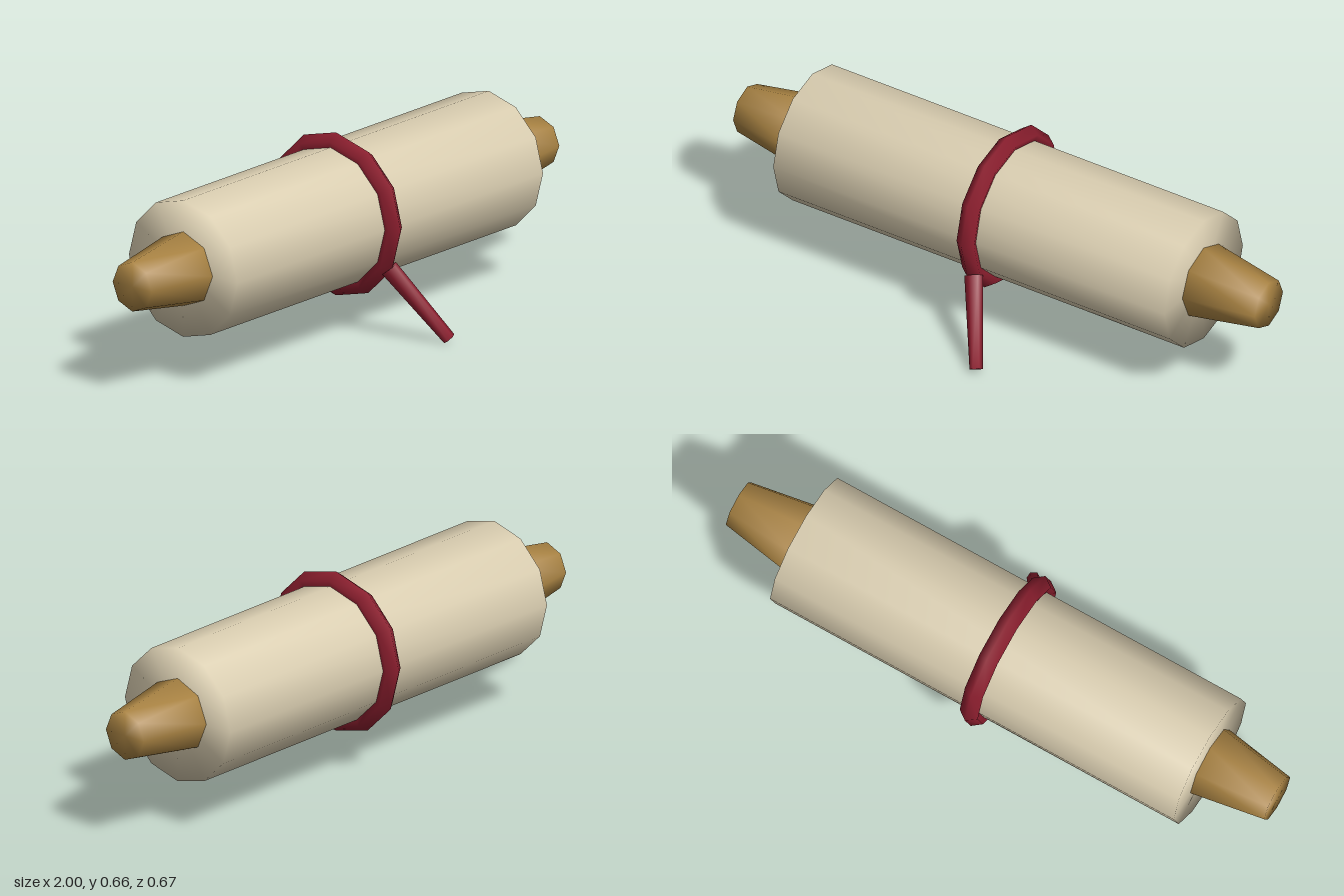
import * as THREE from 'three';
import { mergeVertices } from 'three/addons/utils/BufferGeometryUtils.js';

const paper = new THREE.MeshStandardMaterial({ name: 'parchment cream', color: 0xd9cdb0 });
const wood = new THREE.MeshStandardMaterial({ name: 'golden wood', color: 0xa98343 });
const ribbon = new THREE.MeshStandardMaterial({ name: 'dark red ribbon', color: 0x8b1e2e });

// Share vertices between sides and caps so shading runs smoothly over the edges
function soften(geometry) {
  geometry.deleteAttribute('uv');
  geometry.deleteAttribute('normal');
  const merged = mergeVertices(geometry, 1e-4);
  merged.computeVertexNormals();
  return merged;
}

function addPart(parent, name, geometry, material) {
  const mesh = new THREE.Mesh(geometry, material);
  mesh.name = name;
  parent.add(mesh);
  return mesh;
}

export function createModel() {
  const model = new THREE.Group();
  model.name = 'tiedScroll';

  // Rolled sheet and rod ends share one axis along x
  const roll = new THREE.Group();
  roll.name = 'roll';
  roll.position.set(0, 0.39, -0.06);
  model.add(roll);

  const sheet = new THREE.CylinderGeometry(0.23, 0.23, 1.5, 12).rotateZ(-Math.PI / 2);
  addPart(roll, 'rolledSheet', soften(sheet), paper);

  // Tapered rod ends
  for (const side of [1, -1]) {
    const rod = new THREE.CylinderGeometry(0.083, 0.125, 0.25, 8).rotateZ(-side * Math.PI / 2);
    const end = addPart(roll, side > 0 ? 'leftRodEnd' : 'rightRodEnd', soften(rod), wood);
    end.position.x = side * 0.875;
  }

  // Ribbon loop around the middle
  const loop = new THREE.TorusGeometry(0.24, 0.035, 5, 12).rotateY(Math.PI / 2);
  addPart(roll, 'ribbonLoop', soften(loop), ribbon);

  // Loose ribbon tail hanging forward and down
  const start = new THREE.Vector3(0.01, 0.25, 0.157);
  const finish = new THREE.Vector3(0.123, 0.018, 0.314);
  const along = start.clone().sub(finish);
  const tail = new THREE.CylinderGeometry(0.03, 0.022, along.length(), 6);
  const tailMesh = addPart(model, 'ribbonTail', soften(tail), ribbon);
  tailMesh.position.copy(start).add(finish).multiplyScalar(0.5);
  tailMesh.quaternion.setFromUnitVectors(new THREE.Vector3(0, 1, 0), along.normalize());

  return model;
}
